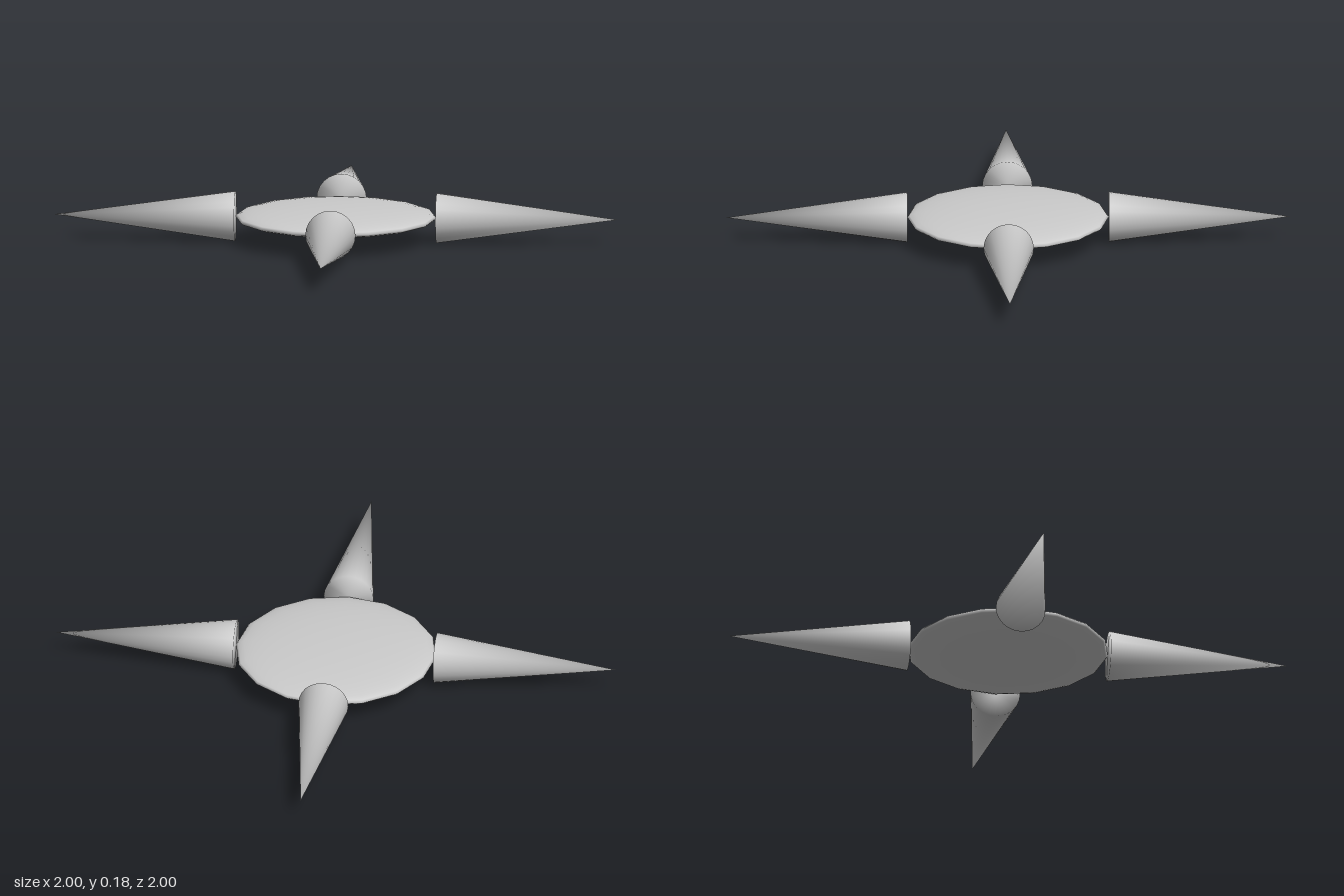
import * as THREE from 'three';
import { mergeVertices } from 'three/addons/utils/BufferGeometryUtils.js';

const HUB_RADIUS = 0.357;
const SPIKE_RADIUS = 0.089;
const SPIKE_LENGTH = 1 - HUB_RADIUS;

// Closed cone pointing along +x, with normals blended over the base rim
function spikeGeometry() {
  const cone = new THREE.ConeGeometry(SPIKE_RADIUS, SPIKE_LENGTH, 24);
  cone.deleteAttribute('normal');
  cone.deleteAttribute('uv');
  const geometry = mergeVertices(cone, 1e-5);
  geometry.rotateZ(-Math.PI / 2);
  geometry.translate(HUB_RADIUS + SPIKE_LENGTH / 2, 0, 0);
  geometry.computeVertexNormals();
  return geometry;
}

export function createModel() {
  const model = new THREE.Group();
  model.name = 'fourPointStar';
  const material = new THREE.MeshStandardMaterial({ color: 0xcccccc });

  // Flattened sphere in the middle
  const hubGeometry = new THREE.SphereGeometry(HUB_RADIUS, 16, 16);
  hubGeometry.scale(1, 0.105, 1);
  const hub = new THREE.Mesh(hubGeometry, material);
  hub.name = 'hub';
  hub.position.y = SPIKE_RADIUS;
  model.add(hub);

  // Four spikes, a quarter turn apart
  const geometry = spikeGeometry();
  ['leftSpike', 'backSpike', 'rightSpike', 'frontSpike'].forEach((name, i) => {
    const spike = new THREE.Mesh(geometry, material);
    spike.name = name;
    spike.position.y = SPIKE_RADIUS;
    spike.rotation.y = i * Math.PI / 2;
    model.add(spike);
  });
  return model;
}
